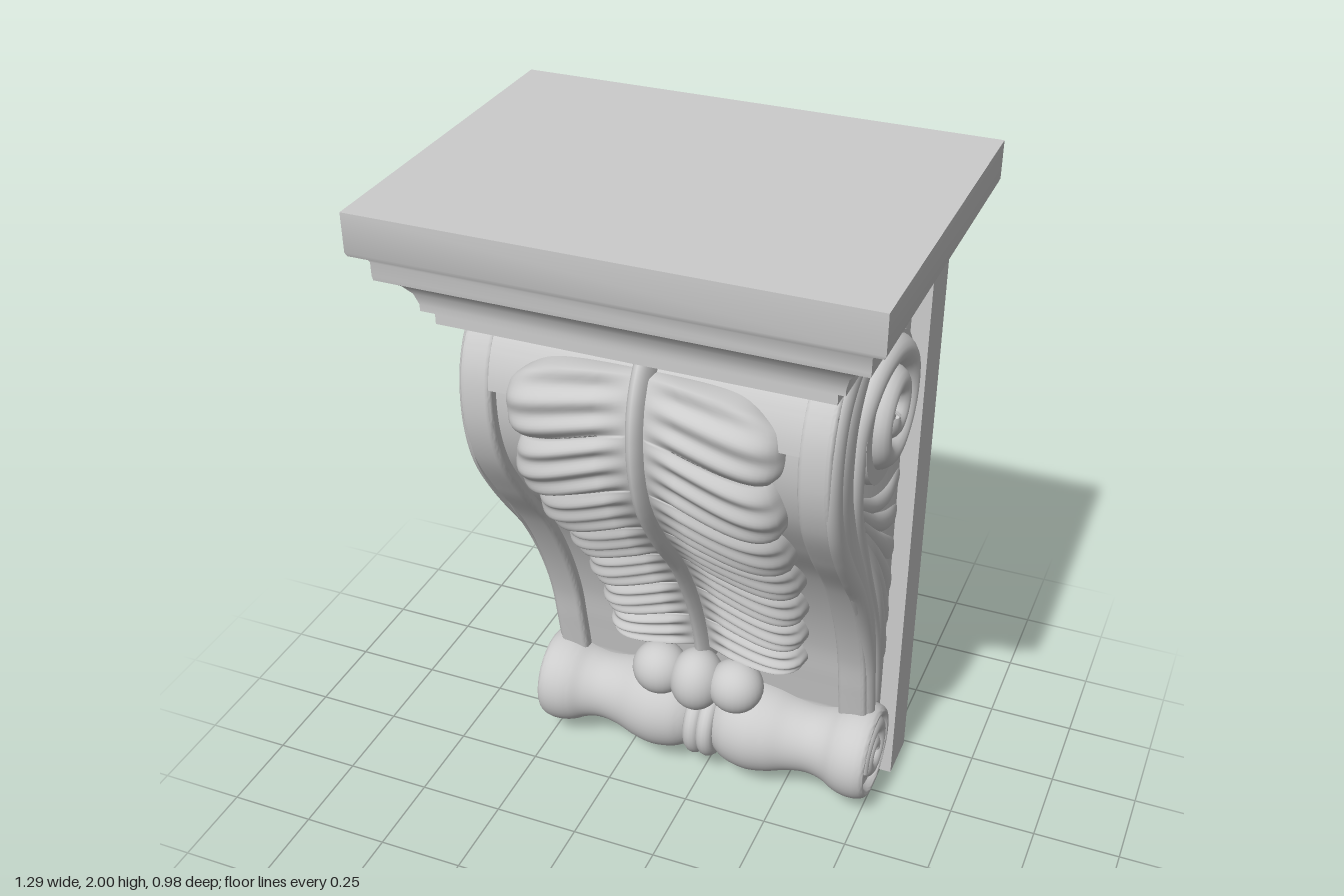
import * as THREE from 'three';
import { ParametricGeometry } from 'three/addons/geometries/ParametricGeometry.js';
import { toCreasedNormals } from 'three/addons/utils/BufferGeometryUtils.js';

const material = new THREE.MeshStandardMaterial({ color: 0xcccccc, side: THREE.DoubleSide });
const { lerp, clamp, smoothstep } = THREE.MathUtils;

// S-shaped front edge of the bracket, as (z, y) from bottom to top
const frontCurve = new THREE.CatmullRomCurve3([
  [-0.19, 0.3], [-0.165, 0.43], [-0.138, 0.56], [-0.074, 0.73], [0.03, 0.92], [0.165, 1.1],
  [0.262, 1.26], [0.298, 1.4], [0.287, 1.54], [0.235, 1.63], [0.15, 1.68],
].map(([z, y]) => new THREE.Vector3(z, y, 0)));
const frontPoints = frontCurve.getPoints(120);

// Depth of the front edge at a given height
function frontZ(y) {
  const k = clamp(frontPoints.findIndex((p) => p.y >= y), 1, 120);
  const a = frontPoints[k - 1], b = frontPoints[k];
  return lerp(a.x, b.x, clamp((y - a.y) / (b.y - a.y), 0, 1));
}

// Place a point at x, y on the front, lifted by h along the surface normal
function onFront(x, y, h, target) {
  const slope = (frontZ(y + 0.03) - frontZ(y - 0.03)) / 0.06;
  const n = Math.hypot(1, slope);
  target.set(x, y - (h * clamp(slope, -1, 1)) / n, frontZ(y) + h / n);
}

function add(parent, name, geometry) {
  const mesh = new THREE.Mesh(geometry, material);
  mesh.name = name;
  parent.add(mesh);
  return mesh;
}

// Extrude a (z, y) outline sideways between x0 and x1
function sideExtrude(outline, x0, x1, bevel) {
  const shape = new THREE.Shape(outline.map(([z, y]) => new THREE.Vector2(-z, y)));
  const g = new THREE.ExtrudeGeometry(shape, {
    depth: x1 - x0 - 2 * bevel, bevelEnabled: bevel > 0, bevelSize: bevel,
    bevelThickness: bevel, bevelOffset: -bevel, bevelSegments: 3,
  });
  g.translate(0, 0, x0 + bevel).rotateY(Math.PI / 2);
  return toCreasedNormals(g, 0.6);
}

// Half-round carved strand lying on a side face; w = half width, h = height
function strand(points, x, side, width, height, steps = 60) {
  const curve = new THREE.CatmullRomCurve3(points.map(([z, y]) => new THREE.Vector3(0, y, z)));
  return new ParametricGeometry((u, v, target) => {
    const p = curve.getPoint(v), t = curve.getTangent(v), a = Math.PI * u;
    const w = width(v) * Math.cos(a);
    target.set(side * (x + height(v) * Math.sin(a)), p.y + t.z * w, p.z - t.y * w);
  }, 10, steps);
}

// Spiral points around (z, y), starting at the front and passing over the top
function spiral(cz, cy, r0, r1, turns) {
  return Array.from({ length: turns * 12 + 1 }, (_, i) => {
    const a = (i / 12) * Math.PI * 2, r = lerp(r0, r1, i / (turns * 12));
    return [cz + r * Math.cos(a), cy + r * Math.sin(a)];
  });
}

// Moulded top shelf: stacked rectangles, flush at the back
function cornice() {
  const profile = [[null, 1.675], [0, 1.675], [0, 1.715], [0.025, 1.717], [0.025, 1.735],
    [0.034, 1.765], [0.052, 1.79], [0.08, 1.81], [0.098, 1.818], [0.1, 1.83], [0.1, 1.865],
    [0.107, 1.878], [0.125, 1.885], [0.136, 1.89], [0.14, 1.9], [0.14, 2], [null, 2]];
  const corners = [[-1, 0], [-1, 1], [1, 1], [1, 0], [-1, 0]];
  const g = new ParametricGeometry((u, v, target) => {
    const [d, y] = profile[Math.round(v * (profile.length - 1))];
    const [sx, sz] = corners[Math.round(u * 4)];
    if (d === null) target.set(0, y, 0);
    else target.set(sx * (0.505 + d), y, sz ? 0.345 + d : -0.49);
  }, 4, profile.length - 1);
  return toCreasedNormals(g, 0.5);
}

// Half acanthus leaf: lobed edge with flutes sweeping down and out from the midrib
function leaf(side) {
  const lobes = 7;
  return new ParametricGeometry((u, v, target) => {
    const f = (v * lobes) % 1;
    const lobe = Math.pow(Math.sin(Math.PI * Math.pow(f, 0.75)), 0.6) || 0;
    const edge = lerp(0.265, 0.325, smoothstep(v, 0, 0.8)) + 0.04 * lobe - 0.06 * smoothstep(v, 0.95, 1);
    const x = 0.02 + (edge - 0.02) * u;
    const y = lerp(0.47, 1.62, v) - 0.15 * Math.pow(Math.sin(Math.PI * v), 0.7) * Math.pow(u, 1.3);
    const rim = Math.sqrt(Math.max(0, 1 - Math.pow(u, 7)));
    const ends = Math.sqrt(clamp(Math.min(v, 1 - v) / 0.025, 0, 1));
    const flutes = 0.007 * Math.cos(f * 6 * Math.PI) * Math.min(1, u * 4);
    const h = 0.024 + 0.03 * lobe * u + 0.012 * Math.sin(Math.PI * u) - flutes;
    onFront(side * x, y, lerp(-0.045, h, rim * ends), target);
  }, 24, 210);
}

export function createModel() {
  const model = new THREE.Group();
  model.name = 'corbel';

  add(model, 'cornice', cornice());
  add(model, 'backboard', new THREE.BoxGeometry(1.07, 1.74, 0.145)).position.set(0, 0.87, -0.4175);

  // Bracket core with a sunken front panel, between two raised cheeks
  const back = [[-0.36, 1.68], [-0.36, 0.12], [-0.2, 0.12]];
  const edge = frontPoints.map((p) => [p.x, p.y]);
  const sunk = edge.map(([z, y]) => [z - (y < 1.48 ? 0.035 : 0.004), y]);
  add(model, 'panel', sideExtrude([...sunk, ...back], -0.43, 0.43, 0));

  // Central midrib
  add(model, 'midrib', new ParametricGeometry((u, v, target) => {
    const a = Math.PI * u;
    onFront(0.032 * Math.cos(a), lerp(0.44, 1.64, v), -0.04 + 0.095 * Math.sin(a), target);
  }, 10, 60));

  for (const side of [-1, 1]) {
    const half = new THREE.Group();
    half.name = side > 0 ? 'leftSide' : 'rightSide';
    model.add(half);
    const x0 = side > 0 ? 0.4 : -0.485;
    add(half, 'cheek', sideExtrude([...edge, ...back], x0, x0 + 0.085, 0.014));
    add(half, 'leaf', leaf(side));

    // Outer roll along the front edge
    const roll = frontPoints.filter((p, i) => i % 8 === 0).map((p) => [p.x - 0.045, p.y - 0.02]);
    add(half, 'outerRoll', strand(roll, 0.475, side, (v) => lerp(0.028, 0.042, v), () => 0.026));

    // Inner roll rising into the large volute
    const volute = [[-0.27, 0.34], [-0.25, 0.5], [-0.2, 0.67], [-0.05, 0.97], [0.06, 1.22],
      ...spiral(-0.115, 1.41, 0.18, 0.025, 2)];
    add(half, 'volute', strand(volute, 0.48, side,
      (v) => 0.026 + 0.018 * smoothstep(v, 0.05, 0.3),
      (v) => 0.02 + 0.042 * smoothstep(v, 0.12, 0.35), 200));
    const disc = add(half, 'voluteDisc', new THREE.CylinderGeometry(0.2, 0.21, 0.06, 48));
    disc.rotation.z = -side * Math.PI / 2;
    disc.position.set(side * 0.475, 1.41, -0.125);

    // Middle strand between the two rolls
    add(half, 'middleStrand', strand([[-0.22, 0.36], [-0.19, 0.55], [-0.13, 0.73], [-0.01, 0.94],
      [0.11, 1.15], [0.17, 1.34], [0.14, 1.52], [0.03, 1.63], [-0.15, 1.65], [-0.33, 1.63]],
    0.477, side, (v) => 0.03 + 0.025 * Math.sin(Math.PI * v), () => 0.022));

    // Leaf strands fanning from below the volute to the backboard
    for (let i = 0; i < 6; i++) {
      const t = i / 5;
      add(half, 'fanStrand', strand([
        [0.03 - 0.12 * t, 1.21 - 0.22 * t], [-0.09 - 0.08 * t, 1.13 - 0.3 * t],
        [-0.22 - 0.03 * t, 1.08 - 0.42 * t], [-0.345, 1.07 - 0.62 * t]],
      0.476, side, (v) => 0.018 + 0.022 * v, (v) => 0.012 + 0.014 * Math.sin(Math.PI * v), 24));
    }

    // Spiral on the end of the bottom bolster
    add(half, 'bolsterSpiral', strand(spiral(-0.205, 0.195, 0.1, 0.02, 1.5), 0.495, side,
      () => 0.028, () => 0.03, 80));

    // Outer berry
    const berry = add(half, 'berry', new THREE.SphereGeometry(0.082, 28, 20));
    berry.scale.set(1, 1, 0.95);
    berry.position.set(side * 0.118, 0.405, -0.095);
  }

  const berry = add(model, 'centreBerry', new THREE.SphereGeometry(0.09, 28, 20));
  berry.scale.set(0.88, 1.08, 0.95);
  berry.position.set(0, 0.4, -0.09);

  // Turned bolster at the foot
  const halfProfile = [[0.02, 0.085], [0.05, 0.115], [0.09, 0.136], [0.15, 0.145], [0.21, 0.136],
    [0.27, 0.117], [0.33, 0.108], [0.38, 0.117], [0.42, 0.136], [0.455, 0.145], [0.49, 0.145],
    [0.515, 0.135], [0.518, 0.12], [0.5, 0.105]];
  const right = new THREE.SplineCurve(halfProfile.map(([x, r]) => new THREE.Vector2(r, x))).getPoints(60);
  const left = right.map((p) => new THREE.Vector2(p.x, -p.y)).reverse();
  const ends = [new THREE.Vector2(0, -0.5), ...left, ...right, new THREE.Vector2(0, 0.5)];
  const bolster = add(model, 'bolster', toCreasedNormals(new THREE.LatheGeometry(ends, 48), 0.7));
  bolster.rotation.z = -Math.PI / 2;
  bolster.position.set(0, 0.19, -0.205);

  // Twin cords around the bolster's waist
  for (const x of [-0.021, 0.021]) {
    const cord = add(model, 'cord', new THREE.TorusGeometry(0.095, 0.026, 14, 40));
    cord.rotation.y = Math.PI / 2;
    cord.position.set(x, 0.18, -0.19);
  }
  return model;
}
